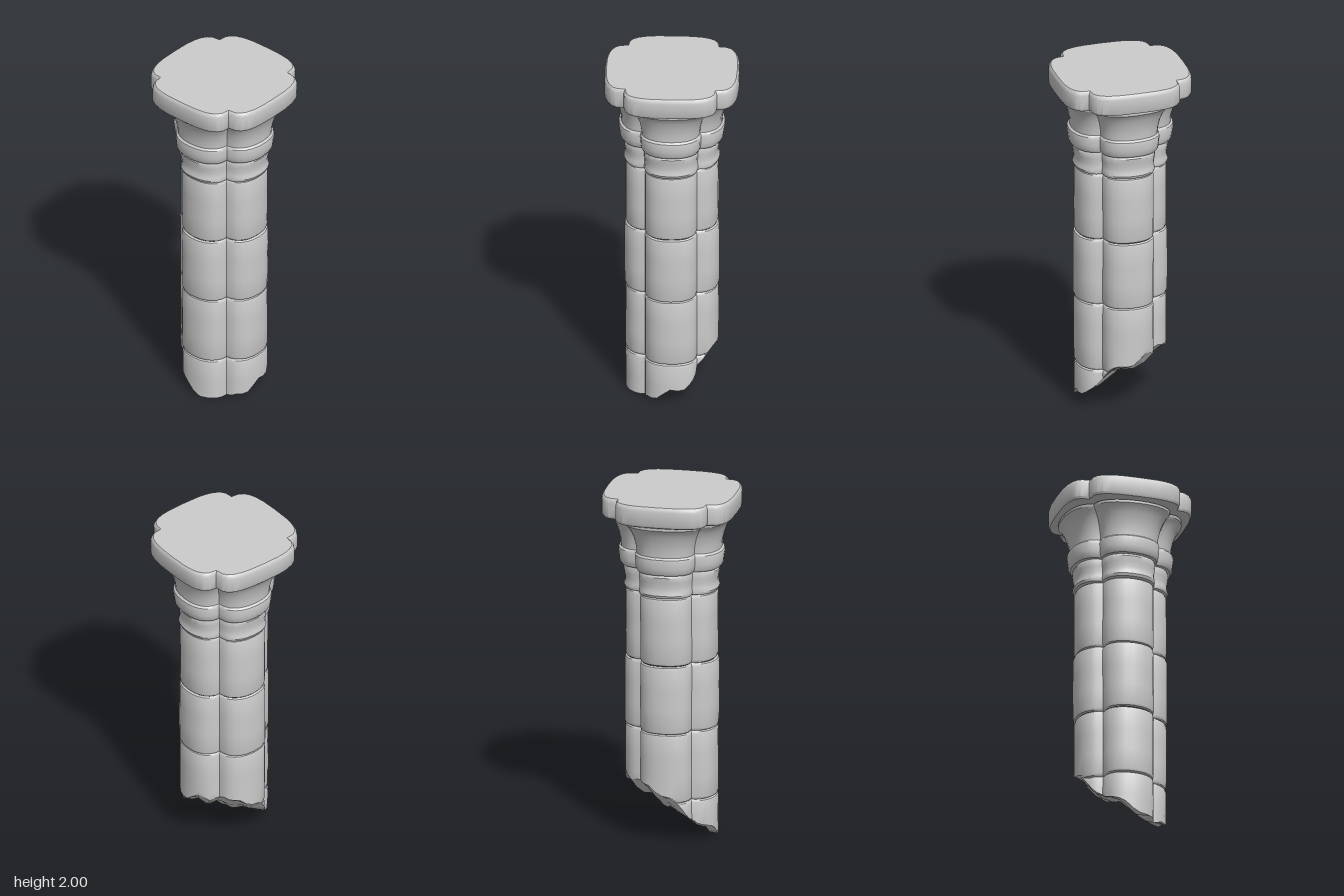
import * as THREE from 'three';
import { toCreasedNormals } from 'three/addons/utils/BufferGeometryUtils.js';

const LOBE_STEPS = 12;

// Four-lobed outline: lobes reach `tip` on the axes and meet at (notch, notch).
function outline(tip, notch, power) {
  const points = [];
  for (let k = 0; k < 4; k++) {
    const c = Math.round(Math.cos(k * Math.PI / 2));
    const s = Math.round(Math.sin(k * Math.PI / 2));
    for (let i = 0; i < LOBE_STEPS; i++) {
      const a = -Math.PI / 2 + Math.PI * i / LOBE_STEPS;
      const u = notch + (tip - notch) * Math.pow(Math.max(0, Math.cos(a)), 2 / power);
      const v = notch * Math.sign(Math.sin(a)) * Math.pow(Math.abs(Math.sin(a)), 2 / power);
      points.push([u * c - v * s, u * s + v * c]);
    }
  }
  return points;
}

// Height of the slanting, jagged break across the foot of the shaft.
function breakHeight(x, z) {
  const jag = 0.022 * Math.abs(Math.sin(17 * x + 6 * z + 0.6))
    + 0.02 * Math.sin(23 * z - 9 * x + 1) + 0.012 * Math.sin(41 * x + 31 * z);
  return Math.max(0, 0.155 + 0.6 * x - 0.42 * z + jag);
}

// Skin a stack of outlines; rows are [y, tip, notch, power].
function loft(rows, wear = 0) {
  const pos = [], index = [], n = LOBE_STEPS * 4;
  for (const [y, tip, notch, power = 2.2] of rows) {
    outline(tip, notch, power).forEach(([x, z], i) => {
      const w = 1 + wear * (Math.sin(i * 0.9 + y * 7) + Math.sin(i * 0.37 - y * 11));
      const px = x * w, pz = z * w;
      pos.push(px, y < 0.6 ? Math.max(y, breakHeight(px, pz)) : y, pz);
    });
  }
  for (let j = 0; j < rows.length - 1; j++) {
    for (let i = 0; i < n; i++) {
      const a = j * n + i, b = j * n + (i + 1) % n;
      index.push(a, a + n, b, b, a + n, b + n);
    }
  }
  const geometry = new THREE.BufferGeometry();
  geometry.setAttribute('position', new THREE.Float32BufferAttribute(pos, 3));
  geometry.setIndex(index);
  return geometry;
}

export function createModel() {
  const group = new THREE.Group();
  const stone = new THREE.MeshStandardMaterial({ color: 0xcccccc });
  const brokenStone = new THREE.MeshStandardMaterial({ color: 0xcccccc, flatShading: true });

  function add(name, geometry, material = stone) {
    const mesh = new THREE.Mesh(toCreasedNormals(geometry, 0.6), material);
    mesh.name = name;
    group.add(mesh);
  }

  // Shaft drums, pinched at the joints
  const drum = (y0, y1, tip) => loft([
    [y0, tip - 0.016, 0.137], [y0 + 0.006, tip - 0.004, 0.142], [y0 + 0.02, tip, 0.145],
    [y0 + (y1 - y0) * 0.35, tip + 0.001, 0.145], [y0 + (y1 - y0) * 0.65, tip + 0.001, 0.145],
    [y1 - 0.02, tip, 0.145], [y1 - 0.006, tip - 0.004, 0.142], [y1, tip - 0.016, 0.137],
  ], 0.003);
  add('upperDrum', drum(1.04, 1.435, 0.258));
  add('middleDrum', drum(0.645, 1.04, 0.264));
  add('lowerDrum', drum(0.245, 0.645, 0.259));

  // Broken stub below the last joint
  add('brokenDrum', loft([
    [-1, 0.258, 0.145], [0.1, 0.258, 0.145], [0.225, 0.258, 0.145],
    [0.239, 0.254, 0.142], [0.245, 0.243, 0.137],
  ], 0.003));
  add('brokenFace', loft([0, 0.2, 0.4, 0.6, 0.8, 1].map(
    (s) => [-1, 0.258 * s, 0.145 * s]), 0.003), brokenStone);

  // Neck of the capital
  add('neck', loft([
    [1.435, 0.24, 0.137], [1.44, 0.262, 0.148], [1.455, 0.268, 0.151], [1.475, 0.262, 0.148],
    [1.5, 0.26, 0.147], [1.53, 0.266, 0.15], [1.56, 0.27, 0.152], [1.575, 0.262, 0.149],
  ], 0.004));

  // Rounded band
  add('band', loft([
    [1.572, 0.255, 0.148], [1.577, 0.28, 0.158], [1.592, 0.29, 0.165], [1.62, 0.293, 0.168],
    [1.655, 0.298, 0.17], [1.672, 0.295, 0.169], [1.682, 0.283, 0.163],
  ], 0.004));

  // Flaring bell
  add('bell', loft([
    [1.675, 0.282, 0.162], [1.72, 0.284, 0.166], [1.77, 0.296, 0.176], [1.81, 0.31, 0.19],
    [1.84, 0.325, 0.205], [1.855, 0.338, 0.217], [1.87, 0.338, 0.22], [1.88, 0.31, 0.2],
  ], 0.003));

  // Top slab
  add('topSlab', loft([
    [1.876, 0, 0, 3], [1.876, 0.355, 0.243, 3], [1.882, 0.368, 0.254, 3],
    [1.895, 0.375, 0.26, 3], [1.975, 0.375, 0.26, 3], [1.99, 0.372, 0.257, 3],
    [2, 0.364, 0.25, 3], [2, 0, 0, 3],
  ]));

  return group;
}
